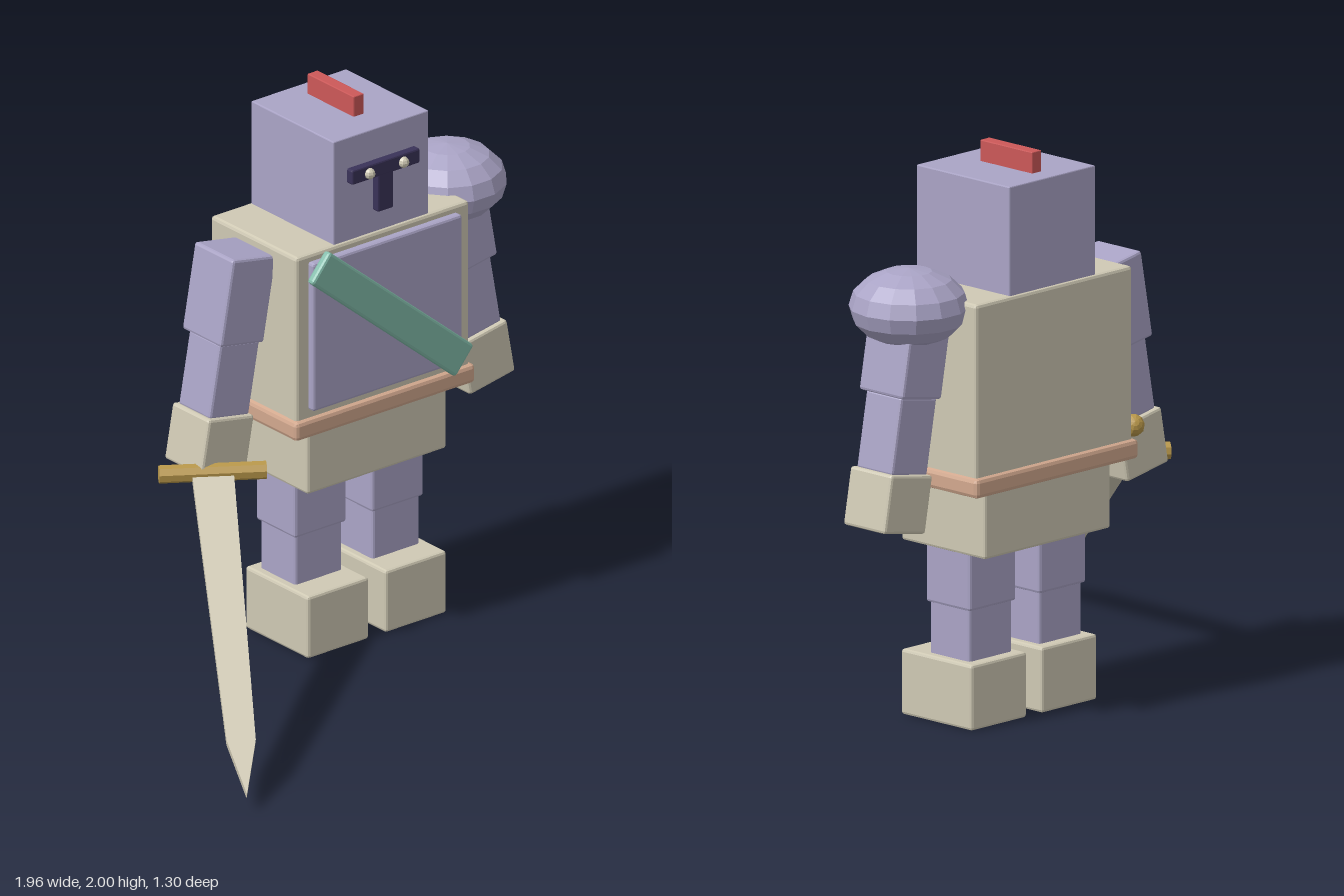
import * as THREE from 'three';
import { RoundedBoxGeometry } from 'three/addons/geometries/RoundedBoxGeometry.js';

function material(name, color) {
  const m = new THREE.MeshStandardMaterial({ color, flatShading: true });
  m.name = name;
  return m;
}

export function createModel() {
  const steel = material('lavender steel', 0xaaa4c6);
  const cream = material('cream', 0xcfc9b4);
  const leather = material('leather', 0xd2a88e);
  const teal = material('teal cloth', 0x82bcaa);
  const red = material('red', 0xcc5858);
  const dark = material('dark visor', 0x3a3258);
  const gold = material('gold', 0xb8974a);

  const CX = 0.28, CZ = -0.395; // body centre line
  const model = new THREE.Group();
  model.name = 'knight';

  function add(name, geometry, mat, x, y, z, parent = model) {
    const mesh = new THREE.Mesh(geometry, mat);
    mesh.name = name;
    mesh.position.set(x, y, z);
    parent.add(mesh);
    return mesh;
  }
  // Box with a thin chamfer on every edge
  function box(name, mat, w, h, d, x, y, z, bevel = 0.01, parent = model) {
    const g = bevel ? new RoundedBoxGeometry(w, h, d, 1, bevel) : new THREE.BoxGeometry(w, h, d);
    return add(name, g, mat, x, y, z, parent);
  }

  // Head, crest and visor
  box('head', steel, 0.42, 0.4, 0.445, CX, 1.725, CZ, 0.004);
  box('crest', red, 0.045, 0.1, 0.25, CX, 1.95, -0.418, 0.003);
  box('visorSlot', dark, 0.3, 0.055, 0.05, CX, 1.782, -0.17, 0.006);
  box('visorNose', dark, 0.07, 0.16, 0.048, CX, 1.7, -0.17, 0.006);
  for (const s of [-1, 1]) {
    add('eye', new THREE.SphereGeometry(0.02, 8, 6), cream, CX + s * 0.075, 1.78, -0.142);
  }

  // Torso, chest plate, sash, belt and skirt
  box('torso', cream, 0.765, 0.68, 0.465, CX, 1.2, CZ, 0.012);
  box('chestPlate', steel, 0.66, 0.555, 0.05, CX, 1.235, -0.16);
  const sash = box('sash', teal, 0.83, 0.127, 0.033, CX, 1.24, -0.122);
  sash.rotation.z = -0.695;
  box('belt', leather, 0.795, 0.07, 0.5, CX, 0.893, CZ, 0.015);
  box('skirt', cream, 0.615, 0.26, 0.402, CX, 0.75, CZ);

  // Legs and arms, mirrored about the body centre
  for (const s of [-1, 1]) {
    const side = s > 0 ? 'left' : 'right';
    const legX = CX + s * 0.171;
    box(side + 'Thigh', steel, 0.228, 0.22, 0.212, legX, 0.525, CZ);
    box(side + 'Shin', steel, 0.207, 0.2, 0.19, legX, 0.325, CZ);
    box(side + 'Foot', cream, 0.27, 0.232, 0.34, CX + s * 0.172, 0.119, -0.362);

    const arm = new THREE.Group();
    arm.name = side + 'Arm';
    model.add(arm);
    const parts = [
      ['UpperArm', steel, 0.196, 0.317, 0.21, 0.489, 1.365],
      ['Forearm', steel, 0.178, 0.275, 0.17, 0.534, 1.077],
      ['Hand', cream, 0.205, 0.205, 0.2, 0.577, 0.847],
    ];
    for (const [name, mat, w, h, d, x, y] of parts) {
      const m = box(side + name, mat, w, h, d, CX + s * x, y, CZ, 0.01, arm);
      m.rotation.z = s * 0.18;
    }
  }

  // Single faceted shoulder guard
  const pauldron = add('leftShoulderGuard', new THREE.SphereGeometry(0.208, 14, 8), steel, 0.754, 1.513, CZ);
  pauldron.scale.y = 0.655;

  // Sword: local +y runs to the tip, local x along the crossguard
  const sword = new THREE.Group();
  sword.name = 'sword';
  const along = new THREE.Vector3(-0.62, -0.71, 0.943).normalize();
  const across = new THREE.Vector3(0.835, 0, 0.55);
  const normal = across.clone().cross(along).normalize();
  across.crossVectors(along, normal).normalize();
  sword.quaternion.setFromRotationMatrix(new THREE.Matrix4().makeBasis(across, along, normal));
  sword.position.set(-0.365, 0.768, -0.295);
  model.add(sword);

  const outline = new THREE.Shape([
    [-0.072, 0], [0.072, 0], [0.05, 1.11], [0, 1.333], [-0.05, 1.11],
  ].map(([x, y]) => new THREE.Vector2(x, y)));
  const blade = new THREE.ExtrudeGeometry(outline, { depth: 0.026, bevelEnabled: false });
  add('blade', blade, cream, 0, 0, -0.013, sword);
  const guard = add('crossguard', new THREE.CylinderGeometry(0.032, 0.032, 0.37, 8), gold, 0, 0, 0, sword);
  guard.rotation.z = Math.PI / 2;
  add('grip', new THREE.CylinderGeometry(0.025, 0.025, 0.31, 8), leather, 0, -0.155, 0, sword);
  add('pommel', new THREE.SphereGeometry(0.04, 10, 8), gold, 0, -0.31, 0, sword);

  return model;
}
